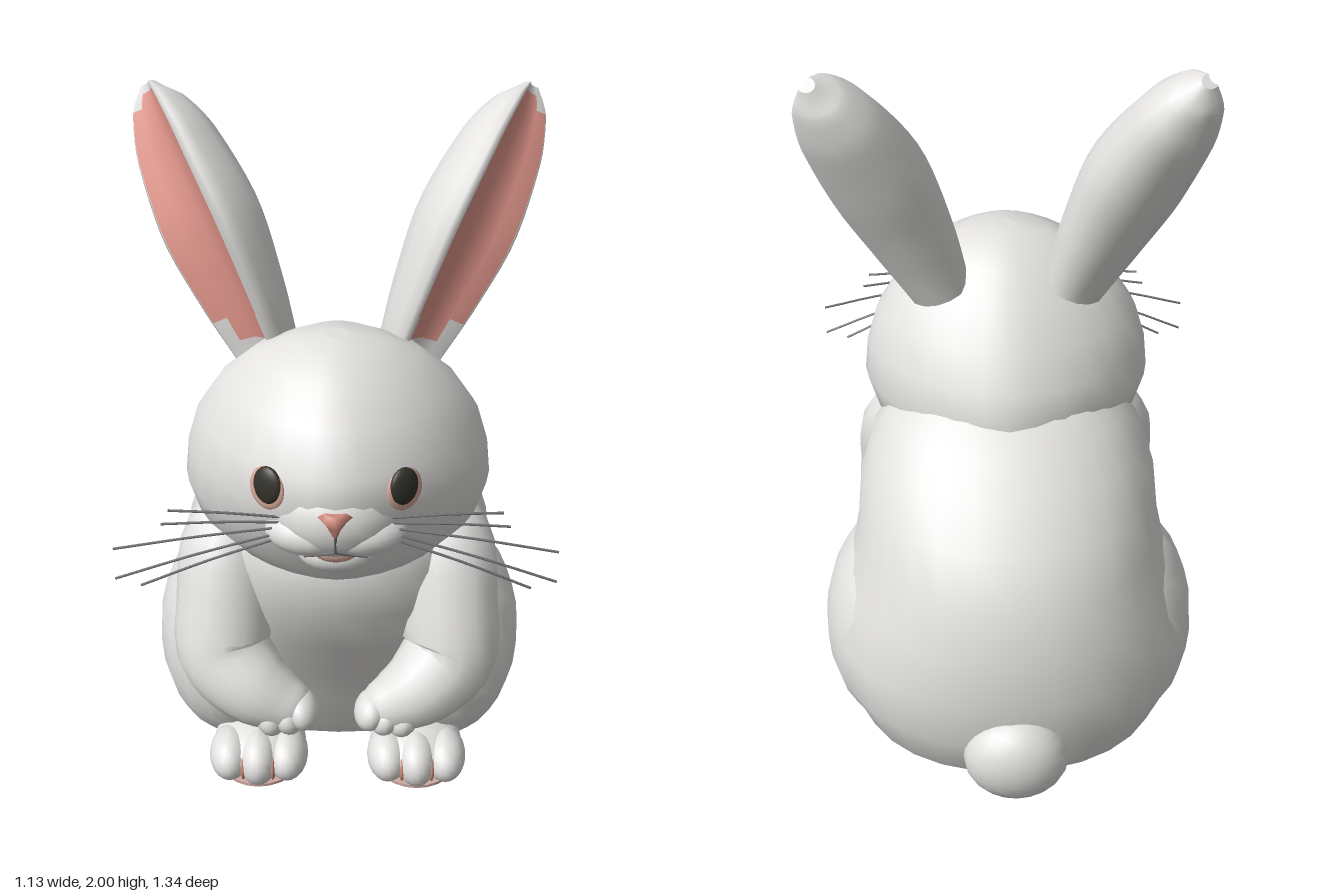
import * as THREE from 'three';

const mat = (name, color) => {
  const m = new THREE.MeshStandardMaterial({ color });
  m.name = name;
  return m;
};
const V = (x, y, z) => new THREE.Vector3(x, y, z);

// Skin rings of equal length and cap both ends; isSecond(i, j) picks faces for a second material.
function loft(rings, isSecond = () => false) {
  const n = rings[0].length, pos = [], first = [], second = [];
  const put = (p) => pos.push(p.x, p.y, p.z) / 3 - 1;
  rings.forEach((r) => r.forEach(put));
  for (let i = 0; i < rings.length - 1; i++) {
    for (let j = 0; j < n; j++) {
      const a = i * n + j, b = i * n + (j + 1) % n, c = b + n, d = a + n;
      (isSecond(i, j) ? second : first).push(a, d, c, a, c, b);
    }
  }
  [rings[0], rings[rings.length - 1]].forEach((r, end) => {
    const mid = r.reduce((s, p) => s.add(p), V(0, 0, 0)).divideScalar(n);
    const c = put(mid), o = c + 1;
    r.forEach(put);
    for (let j = 0; j < n; j++) {
      const a = o + j, b = o + (j + 1) % n;
      first.push(...(end ? [c, b, a] : [c, a, b]));
    }
  });
  const g = new THREE.BufferGeometry();
  g.setAttribute('position', new THREE.Float32BufferAttribute(pos, 3));
  g.setIndex([...first, ...second]);
  if (second.length) {
    g.addGroup(0, first.length, 0);
    g.addGroup(first.length, second.length, 1);
  }
  g.computeVertexNormals();
  return g;
}

// Horizontal sections: [y, half width, centre z, front z, back z], e = roundness.
function sections(rows, e, n = 28) {
  const pw = (v) => Math.sign(v) * Math.abs(v) ** (2 / e);
  return loft(rows.map(([y, w, zc, zf, zb]) => Array.from({ length: n }, (_, j) => {
    const c = Math.cos(j / n * Math.PI * 2), s = Math.sin(j / n * Math.PI * 2);
    return V(w * pw(c), y, zc + (s > 0 ? zf - zc : zc - zb) * pw(s));
  })));
}

// Sweep a [u, v] section along points of [x, y, z, radius]; v points towards "facing".
function sweep(points, section, facing, steps, isSecond) {
  const path = new THREE.CatmullRomCurve3(points.map((p) => V(p[0], p[1], p[2])));
  const size = new THREE.CatmullRomCurve3(points.map((p, i) => V(p[3], i, 0)));
  const rings = [];
  for (let i = 0; i <= steps; i++) {
    const t = i / steps, p = path.getPoint(t), r = size.getPoint(t).x, axis = path.getTangent(t);
    const v = facing.clone().addScaledVector(axis, -facing.dot(axis)).normalize();
    const u = axis.clone().cross(v);
    rings.push(section.map(([a, b]) => p.clone().addScaledVector(u, a * r).addScaledVector(v, b * r)));
  }
  return loft(rings, isSecond);
}

// Ellipsoid, optionally turned and flattened where it would pass below a floor.
function blob(c, r, rot = [0, 0, 0], floor = null) {
  const g = new THREE.SphereGeometry(1, 20, 14).scale(...r);
  g.rotateX(rot[0]).rotateY(rot[1]).rotateZ(rot[2]).translate(...c);
  if (floor !== null) {
    const p = g.attributes.position;
    for (let i = 0; i < p.count; i++) p.setY(i, Math.max(floor, p.getY(i)));
    g.computeVertexNormals();
  }
  return g;
}

export function createModel() {
  const fur = mat('white fur', 0xe3e2e0);
  const pink = mat('ear pink', 0xe89b90);
  const nosePink = mat('nose pink', 0xd08a7c);
  const rimPink = mat('eye rim pink', 0xd8ab9b);
  const solePink = mat('sole pink', 0xccaaa0);
  const dark = mat('dark eye', 0x33322c);
  const hair = mat('whisker grey', 0x77777a);
  const model = new THREE.Group();
  model.name = 'rabbit';
  const add = (name, g, m = fur) => {
    const mesh = new THREE.Mesh(g, m);
    mesh.name = name;
    model.add(mesh);
  };
  const tube = (name, pts, r, m) => add(name,
    new THREE.TubeGeometry(new THREE.CatmullRomCurve3(pts.map((p) => V(...p))), 8, r, 5), m);

  add('torso', sections([
    [0, 0.38, -0.15, 0.1, -0.47], [0.06, 0.45, -0.15, 0.14, -0.53], [0.2, 0.51, -0.14, 0.2, -0.58],
    [0.35, 0.53, -0.12, 0.27, -0.59], [0.5, 0.475, -0.1, 0.35, -0.575], [0.65, 0.44, -0.04, 0.42, -0.53],
    [0.77, 0.43, 0.02, 0.43, -0.45], [0.88, 0.395, 0.04, 0.41, -0.34], [0.97, 0.34, 0.05, 0.3, -0.24],
    [1.04, 0.26, 0.05, 0.22, -0.15], [1.1, 0.12, 0.05, 0.12, -0.02]], 2.1));
  add('head', sections([
    [0.76, 0.2, 0.18, 0.38, 0], [0.82, 0.31, 0.2, 0.475, -0.1], [0.9, 0.385, 0.2, 0.535, -0.16],
    [1.0, 0.415, 0.2, 0.59, -0.19], [1.1, 0.405, 0.2, 0.635, -0.15], [1.2, 0.375, 0.2, 0.625, -0.09],
    [1.3, 0.31, 0.21, 0.55, -0.01], [1.38, 0.22, 0.23, 0.46, 0.07], [1.425, 0.12, 0.25, 0.36, 0.15],
    [1.435, 0.03, 0.25, 0.29, 0.22]], 1.7));
  add('tail', blob([-0.01, 0.16, -0.56], [0.15, 0.145, 0.11], [-0.2, 0, 0]));

  // Face centre
  add('muzzle', blob([0, 1.07, 0.5], [0.17, 0.13, 0.15]));
  add('nose', sections([
    [1.065, 0.012, 0.6, 0.658, 0.58], [1.095, 0.032, 0.6, 0.668, 0.58],
    [1.113, 0.052, 0.6, 0.666, 0.58], [1.123, 0.035, 0.6, 0.655, 0.58]], 2, 12), nosePink);
  add('chin', blob([0, 0.945, 0.525], [0.1, 0.055, 0.06]));
  add('mouth', blob([0, 0.975, 0.576], [0.056, 0.03, 0.022]), rimPink);
  tube('lipLine', [[0, 1.07, 0.655], [0, 1.045, 0.645], [0, 1.005, 0.63]], 0.004, hair);

  // Ear section: hollow front with a rounded lip, deep rounded back
  const half = [[1, 0], [0.92, 0.25], [0.78, 0.32], [0.5, 0.1]];
  const back = [[-0.92, -0.55], [-0.72, -0.95], [-0.38, -1.25], [0, -1.35], [0.38, -1.25], [0.72, -0.95], [0.92, -0.55]];
  const earSection = [...half, [0, -0.05], ...half.map(([u, v]) => [-u, v]).reverse(), ...back];
  const circle = Array.from({ length: 16 }, (_, j) => [Math.cos(j * Math.PI / 8), Math.sin(j * Math.PI / 8)]);
  // The pink lining is a lens: narrow near the base and the tip
  const lining = (i, j) => (i > 1 && i < 22 && (j === 3 || j === 4)) || (i > 3 && i < 19 && j > 1 && j < 6);

  for (const s of [1, -1]) {
    const side = s > 0 ? 'left' : 'right';

    add(side + 'Ear', sweep([
      [s * 0.195, 1.3, 0.135, 0.085], [s * 0.265, 1.46, 0.125, 0.115], [s * 0.36, 1.67, 0.085, 0.138],
      [s * 0.45, 1.86, -0.005, 0.112], [s * 0.49, 1.95, -0.06, 0.07], [s * 0.503, 1.99, -0.09, 0.022]],
    earSection, V(s * 0.6, -0.1, 0.8), 24, lining), [fur, pink]);

    // Eye with its pale rim
    const turn = [-0.1, s * 0.62, 0];
    add(side + 'EyeRim', blob([s * 0.172, 1.152, 0.56], [0.054, 0.058, 0.014], turn), rimPink);
    add(side + 'Eye', blob([s * 0.17, 1.162, 0.565], [0.043, 0.051, 0.018], turn), dark);

    // Muzzle pad, mouth corner and whiskers
    add(side + 'MuzzlePad', blob([s * 0.08, 1.025, 0.56], [0.105, 0.058, 0.07], [0, s * 0.3, 0]));
    tube(side + 'MouthCorner', [[0, 1.005, 0.63], [s * 0.035, 0.99, 0.615], [s * 0.08, 0.975, 0.598]], 0.004, hair);
    [[0.42, 1.1], [0.44, 1.06], [0.565, 0.985], [0.565, 0.895], [0.5, 0.875]].forEach(([x, y], i) => {
      const y0 = 1.075 - i * 0.014;
      tube(side + 'Whisker' + (i + 1), [[s * 0.13, y0, 0.575], [s * (0.07 + x / 2), (y + y0) / 2 + 0.012, 0.595],
        [s * x, y, 0.587]], 0.0035, hair);
    });

    // Front leg bent at the elbow, with a broad toed paw
    add(side + 'Arm', sweep([
      [s * 0.25, 0.9, 0.12, 0.06], [s * 0.3, 0.8, 0.21, 0.13], [s * 0.315, 0.62, 0.29, 0.137],
      [s * 0.315, 0.49, 0.34, 0.135], [s * 0.24, 0.42, 0.4, 0.115], [s * 0.16, 0.38, 0.425, 0.088],
      [s * 0.1, 0.365, 0.44, 0.06], [s * 0.065, 0.36, 0.45, 0.015]], circle, V(0.1, 0.2, 1), 24));
    [[0.095, 0.365], [0.135, 0.35], [0.185, 0.345]].forEach(([x, y], i) =>
      add(side + 'PawToe' + (i + 1), blob([s * x, y, 0.445], [0.045, 0.055, 0.07], [0, 0, -s * 0.35])));

    // Hind leg: haunch, foot, toes with pink gaps, sole
    add(side + 'Haunch', blob([s * 0.315, 0.29, -0.08], [0.238, 0.35, 0.335], [0, 0, 0], 0));
    add(side + 'Foot', blob([s * 0.235, 0.06, 0.2], [0.138, 0.085, 0.165], [0, 0, 0], 0.006));
    [-0.085, 0, 0.085].forEach((dx, i) => {
      const mid = dx === 0 ? 1 : 0;
      add(side + 'Toe' + (i + 1), blob([s * (0.235 + dx), 0.062, 0.27 + mid * 0.015],
        [0.062, 0.07 + mid * 0.008, 0.1], [0, 0, 0], 0.006));
    });
    [-0.044, 0.044].forEach((dx, i) =>
      add(side + 'ToeGap' + (i + 1), blob([s * (0.235 + dx), 0.055, 0.3], [0.011, 0.052, 0.063], [0, 0, 0], 0.006), nosePink));
    add(side + 'Sole', new THREE.CylinderGeometry(1, 1, 0.009, 24)
      .scale(0.13, 1, 0.145).translate(s * 0.235, 0.0045, 0.21), solePink);
  }
  return model;
}
